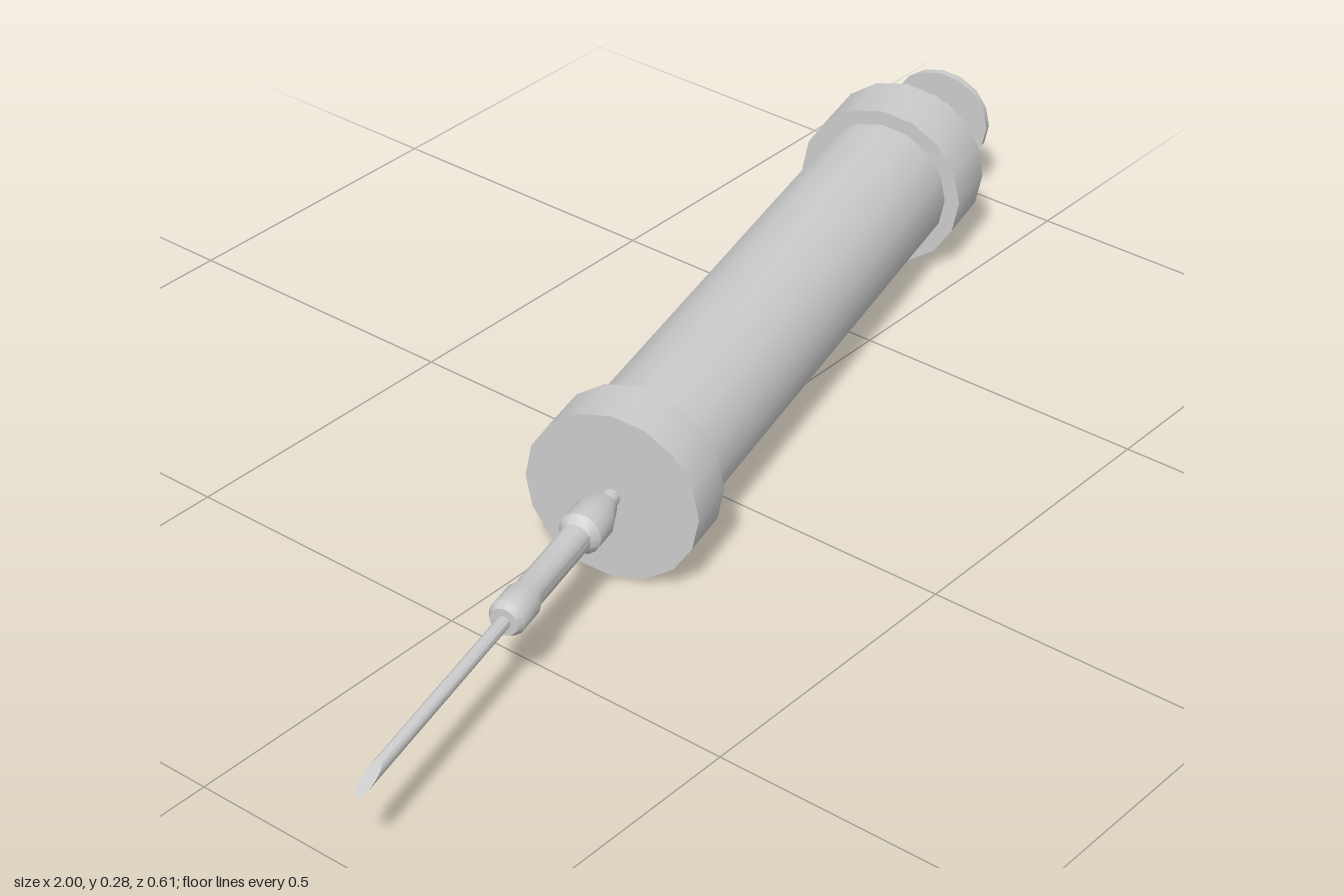
import * as THREE from 'three';
import { toCreasedNormals } from 'three/addons/utils/BufferGeometryUtils.js';

const grey = new THREE.MeshStandardMaterial({ color: 0xcccccc });

// Turned part along the x axis, from [position, radius] pairs
function turned(name, profile, sides = 16) {
  const points = profile.map(([s, r]) => new THREE.Vector2(r, s));
  const geometry = new THREE.LatheGeometry(points, sides).rotateZ(-Math.PI / 2);
  const mesh = new THREE.Mesh(toCreasedNormals(geometry, 0.6), grey);
  mesh.name = name;
  return mesh;
}

// Plain closed cylinder between two positions on the axis
const rod = (name, from, to, r) => turned(name, [[from, 0], [from, r], [to, r], [to, 0]]);

// Hollow needle look: a thin rod whose end is cut on a slant, point at the bottom
function makeNeedle(from, to, r, slant) {
  const geometry = new THREE.CylinderGeometry(r, r, to - from, 12).rotateZ(-Math.PI / 2);
  geometry.translate((from + to) / 2, 0, 0);
  const p = geometry.attributes.position;
  for (let i = 0; i < p.count; i++) {
    if (p.getX(i) < from + 0.001) p.setX(i, from + slant * (p.getY(i) + r) / (2 * r));
  }
  const mesh = new THREE.Mesh(toCreasedNormals(geometry, 0.6), grey);
  mesh.name = 'needle';
  return mesh;
}

export function createModel() {
  const model = new THREE.Group();
  model.name = 'syringe';

  const body = new THREE.Group();
  body.name = 'syringeBody';
  body.add(
    // Barrel and its two end caps
    rod('barrel', -0.23, 0.79, 0.115),
    rod('frontCap', -0.275, -0.187, 0.14),
    rod('rearCap', 0.737, 0.842, 0.14),
    // Needle end
    makeNeedle(-1.032, -0.6, 0.0105, 0.065),
    turned('needleHub', [
      [-0.616, 0], [-0.616, 0.022], [-0.604, 0.029], [-0.56, 0.029], [-0.544, 0.024],
      [-0.392, 0.024], [-0.378, 0.034], [-0.336, 0.034], [-0.297, 0.02], [-0.297, 0],
    ]),
    rod('needleConnector', -0.3, -0.26, 0.014),
    // Plunger: rod flaring into a thin thumb disc
    turned('plungerRod', [[0.82, 0], [0.82, 0.018], [0.97, 0.018], [0.982, 0.023], [0.997, 0.036], [0.997, 0]]),
    rod('thumbDisc', 0.995, 1.008, 0.087),
  );
  // Lies turned slightly on the ground, needle towards the front
  body.rotation.y = THREE.MathUtils.degToRad(14.4);
  body.position.set(0, 0.14, 0.038);
  model.add(body);
  return model;
}
